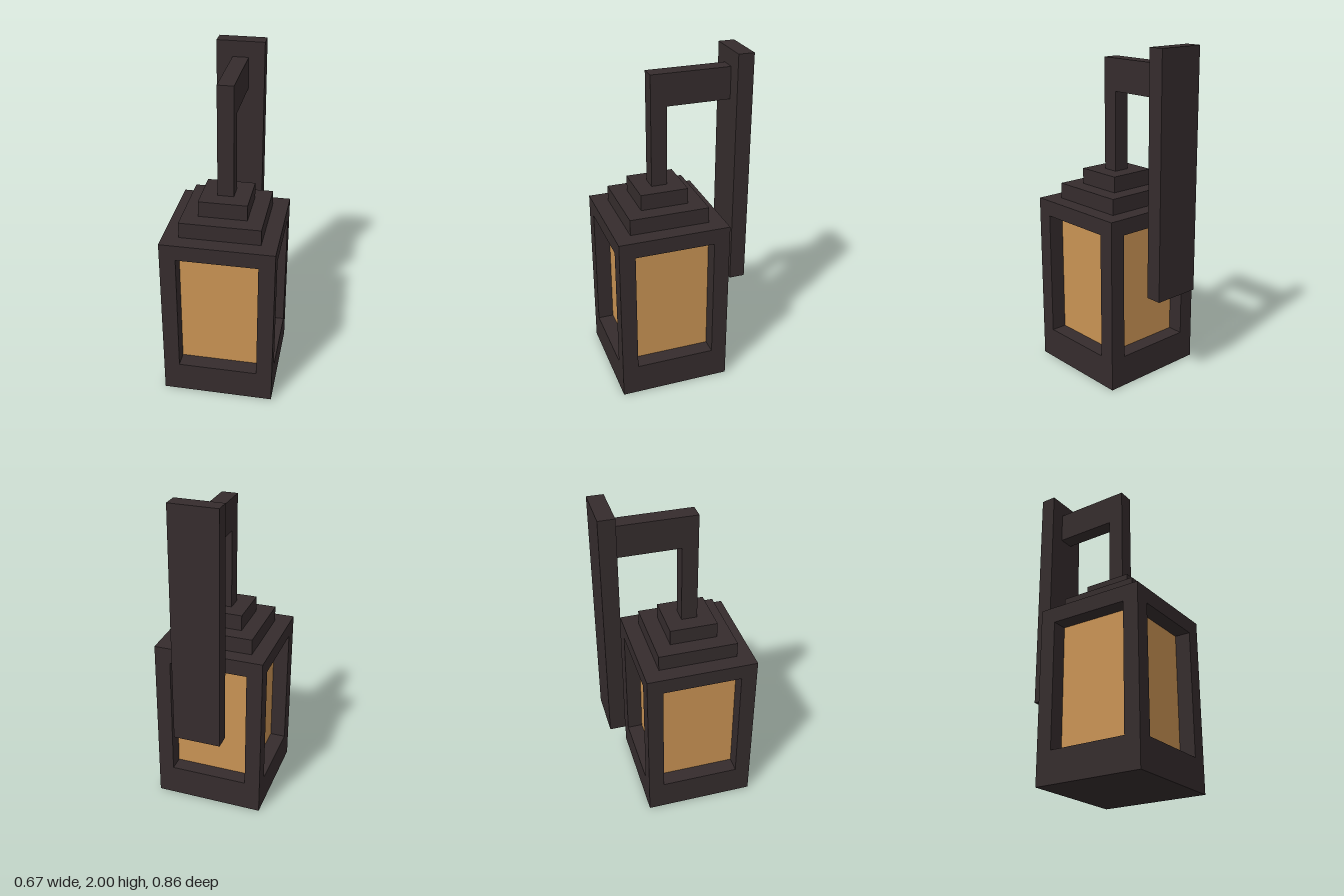
import * as THREE from 'three';

// Everything sits on a grid of 21 units over the full height of 2
const U = 2 / 21;

export function createModel() {
  const iron = new THREE.MeshStandardMaterial({ color: 0x352c2d });
  iron.name = 'darkIron';
  const glow = new THREE.MeshStandardMaterial({ color: 0xc99354 });
  glow.name = 'amberGlass';

  const model = new THREE.Group();
  model.name = 'wallLantern';

  // Box standing on y0, sized and placed in grid units
  const box = (parent, name, material, w, h, d, x, y0, z) => {
    const mesh = new THREE.Mesh(new THREE.BoxGeometry(w * U, h * U, d * U), material);
    mesh.position.set(x * U, (y0 + h / 2) * U, z * U);
    mesh.name = name;
    parent.add(mesh);
  };

  // Lantern body: base, corner posts, glass and stepped roof
  const lantern = new THREE.Group();
  lantern.name = 'lantern';
  lantern.position.z = U;
  model.add(lantern);
  box(lantern, 'base', iron, 7, 2, 7, 0, 0, 0);
  for (const x of [-3, 3]) {
    for (const z of [-3, 3]) box(lantern, 'cornerPost', iron, 1, 8, 1, x, 2, z);
  }
  box(lantern, 'glass', glow, 5, 8, 5, 0, 2, 0);
  box(lantern, 'roofPlate', iron, 7, 1, 7, 0, 10, 0);
  box(lantern, 'roofStep', iron, 5, 1, 5, 0, 11, 0);
  box(lantern, 'roofCap', iron, 3, 1, 3, 0, 12, 0);

  // Bent hanger: L-shaped side profile (z, y) extruded across x
  const profile = [[-3.5, 18], [0.5, 18], [0.5, 13], [1.5, 13], [1.5, 20], [-3.5, 20]];
  const shape = new THREE.Shape(profile.map(([z, y]) => new THREE.Vector2(z * U, y * U)));
  const geometry = new THREE.ExtrudeGeometry(shape, { depth: U, bevelEnabled: false });
  geometry.translate(0, 0, -U / 2).rotateY(-Math.PI / 2);
  const hanger = new THREE.Mesh(geometry, iron);
  hanger.name = 'hanger';
  model.add(hanger);

  // Wall mounting plate
  box(model, 'wallPlate', iron, 3, 15, 1, 0, 6, -4);

  return model;
}
